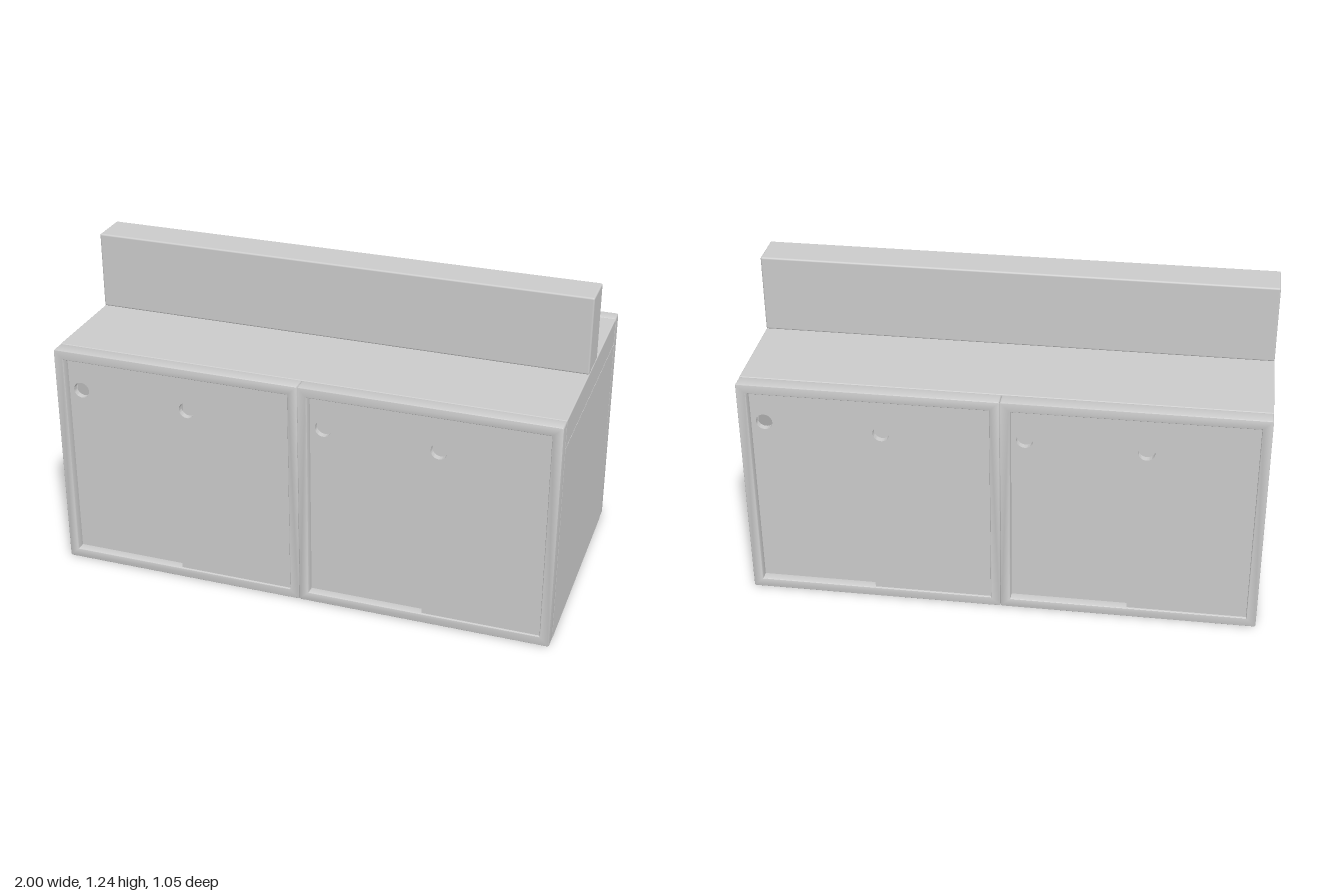
import * as THREE from 'three';
import { RoundedBoxGeometry } from 'three/addons/geometries/RoundedBoxGeometry.js';
import { toCreasedNormals } from 'three/addons/utils/BufferGeometryUtils.js';

const material = new THREE.MeshStandardMaterial({ color: 0xcccccc });

// Box from its centre and size, with a softened edge when r > 0
function box(parent, name, [w, h, d], [x, y, z], r = 0) {
  const geometry = r ? new RoundedBoxGeometry(w, h, d, 3, r) : new THREE.BoxGeometry(w, h, d);
  const mesh = new THREE.Mesh(geometry, material);
  mesh.name = name;
  mesh.position.set(x, y, z);
  parent.add(mesh);
}

function rect(PathType, x0, y0, x1, y1) {
  return new PathType([[x0, y0], [x1, y0], [x1, y1], [x0, y1]].map((p) => new THREE.Vector2(...p)));
}

// Rectangle with corners rounded by r
function roundRect(x0, y0, x1, y1, r) {
  return new THREE.Shape()
    .absarc(x1 - r, y0 + r, r, -Math.PI / 2, 0)
    .absarc(x1 - r, y1 - r, r, 0, Math.PI / 2)
    .absarc(x0 + r, y1 - r, r, Math.PI / 2, Math.PI)
    .absarc(x0 + r, y0 + r, r, Math.PI, Math.PI * 1.5);
}

function plate(parent, name, shape, zBack, depth, curveSegments, bevel = 0) {
  const geometry = new THREE.ExtrudeGeometry(shape, {
    depth: depth - 2 * bevel, curveSegments, bevelEnabled: bevel > 0, bevelThickness: bevel,
    bevelSize: bevel, bevelOffset: -bevel, bevelSegments: 5,
  });
  const mesh = new THREE.Mesh(toCreasedNormals(geometry, 0.5), material);
  mesh.name = name;
  mesh.position.z = zBack + bevel;
  parent.add(mesh);
}

// Sliding door with a round finger hole
function door(parent, name, x0, x1, holeX, zBack) {
  const shape = rect(THREE.Shape, x0, 0.03, x1, 0.905);
  shape.holes.push(new THREE.Path().absarc(holeX, 0.755, 0.032, 0, Math.PI * 2, true));
  plate(parent, name, shape, zBack, 0.024, 24);
}

// One long face: two frames, each with a rear and a front sliding door
function doorFace(name) {
  const face = new THREE.Group();
  face.name = name;
  for (const x of [-1, 0]) {
    const frame = roundRect(x, 0, x + 1, 0.932, 0.007);
    frame.holes.push(rect(THREE.Path, x + 0.039, 0.039, x + 0.961, 0.893));
    plate(face, 'doorFrame', frame, 0.465, 0.06, 4, 0.005);
    door(face, 'rearDoor', x + 0.03, x + 0.51, x + 0.09, 0.466);
    door(face, 'frontDoor', x + 0.497, x + 0.97, x + 0.548, 0.493);
  }
  return face;
}

export function createModel() {
  const model = new THREE.Group();
  model.name = 'doubleSidedCabinet';

  // Carcass, open below the raised floor
  box(model, 'worktop', [2, 0.114, 0.93], [0, 0.875, 0], 0.004);
  for (const s of [-1, 1]) {
    box(model, 'sidePanel', [0.06, 0.818, 0.926], [s * 0.97, 0.409, 0]);
    box(model, 'floor', [1.88, 0.04, 0.435], [0, 0.12, s * 0.2475]);
  }
  box(model, 'centrePanel', [1.88, 0.818, 0.06], [0, 0.409, 0]);

  // Upright ridge along the middle of the worktop
  box(model, 'ridge', [2, 0.312, 0.154], [0, 1.088, 0], 0.007);

  // Identical door faces, turned half a circle for the back
  const back = doorFace('backFace');
  back.rotation.y = Math.PI;
  model.add(doorFace('frontFace'), back);
  return model;
}
